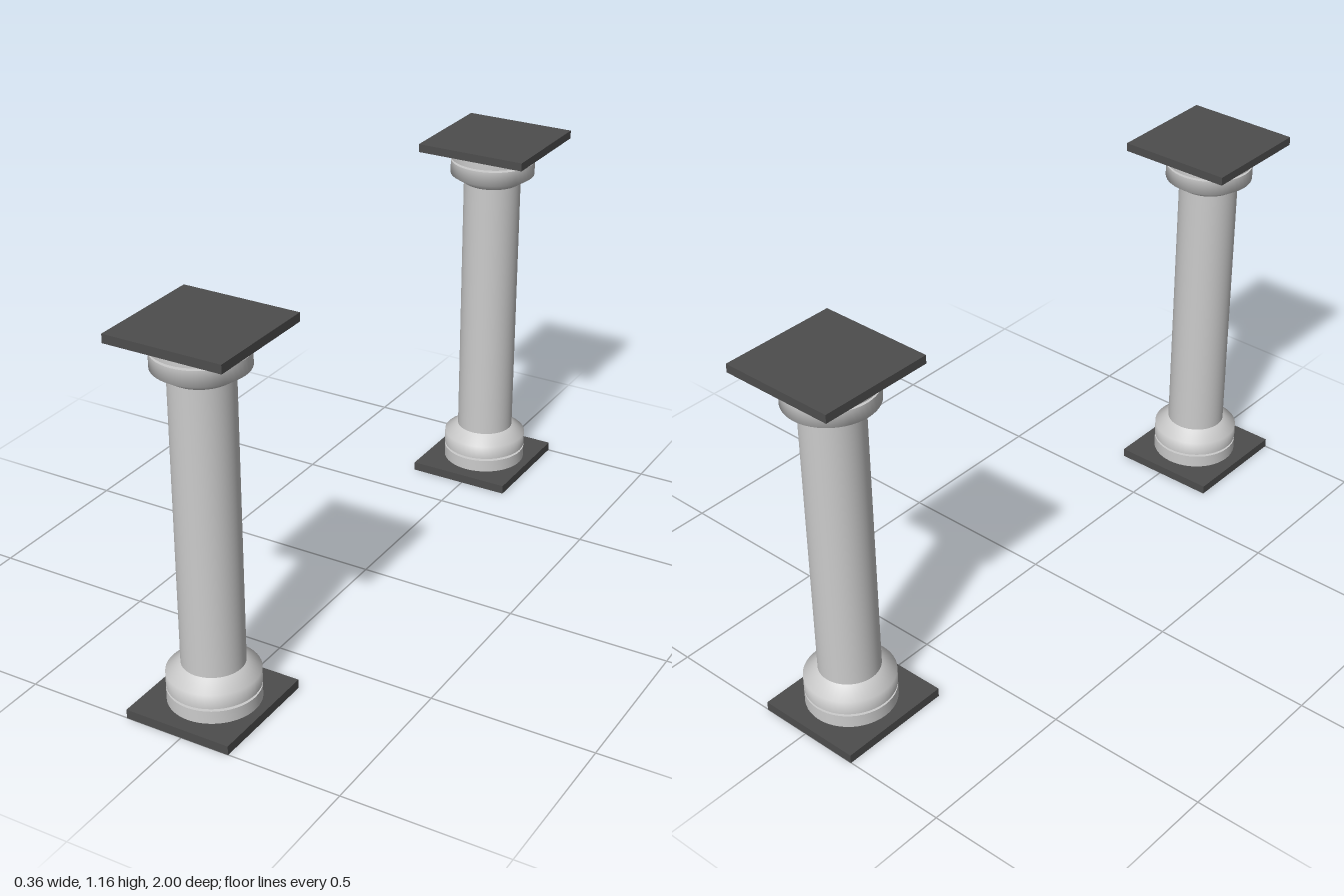
import * as THREE from 'three';
import { toCreasedNormals } from 'three/addons/utils/BufferGeometryUtils.js';

const stone = new THREE.MeshStandardMaterial({ color: 0xcccccc, side: THREE.DoubleSide });
const dark = new THREE.MeshStandardMaterial({ color: 0x4d4d4d });

const AXIS_X = -0.008, AXIS_Z = 0.822;
const SHAFT_R = 0.091, DRUM_R = 0.134, SIDES = 48;

function add(group, name, geometry, material, x, y, z) {
  const mesh = new THREE.Mesh(geometry, material);
  mesh.name = name;
  mesh.position.set(x, y, z);
  group.add(mesh);
}

// Square plate given by its x range, y range and depth
function plate(group, name, x0, x1, y0, y1, depth) {
  add(group, name, new THREE.BoxGeometry(x1 - x0, y1 - y0, depth), dark, (x0 + x1) / 2, (y0 + y1) / 2, 0);
}

// Round part turned from [radius, height] points
function turned(group, name, profile) {
  const points = profile.map(([r, y]) => new THREE.Vector2(r, y));
  const geometry = toCreasedNormals(new THREE.LatheGeometry(points, SIDES), 1.2);
  add(group, name, geometry, stone, AXIS_X, 0, 0);
}

function createColumn(name, z) {
  const column = new THREE.Group();
  column.name = name;
  column.position.z = z;

  // Base: plate, thin disc, narrow gap, chamfered ring
  plate(column, 'basePlate', -0.18, 0.153, 0, 0.028, 0.358);
  turned(column, 'baseDisc', [[0, 0.028], [DRUM_R, 0.028], [DRUM_R, 0.068], [0, 0.068]]);
  turned(column, 'baseRing', [[0, 0.076], [DRUM_R, 0.076], [DRUM_R, 0.12], [SHAFT_R, 0.148]]);

  // Shaft
  turned(column, 'shaft', [[0, 0.078], [SHAFT_R, 0.078], [SHAFT_R, 1.085], [0, 1.085]]);

  // Capital: the same parts upside down under a wider plate
  turned(column, 'capitalRing', [[SHAFT_R, 1.018], [DRUM_R, 1.046], [DRUM_R, 1.091], [0, 1.091]]);
  turned(column, 'capitalDisc', [[0, 1.098], [DRUM_R, 1.098], [DRUM_R, 1.137], [0, 1.137]]);
  plate(column, 'topPlate', -0.18, 0.178, 1.137, 1.163, 0.358);
  return column;
}

export function createModel() {
  const model = new THREE.Group();
  model.name = 'columnPair';
  model.add(createColumn('frontColumn', AXIS_Z), createColumn('backColumn', -AXIS_Z));
  return model;
}
